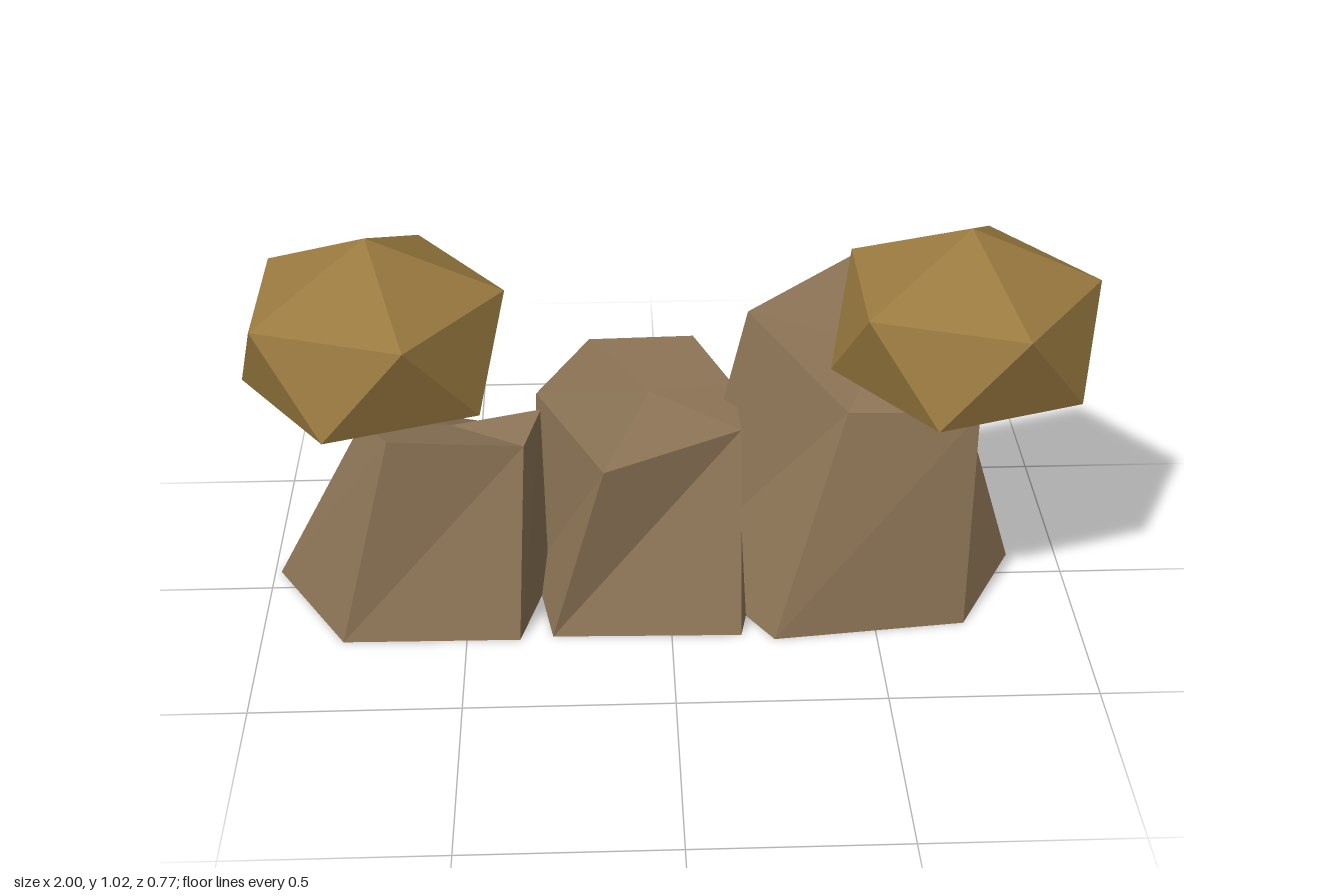
import * as THREE from 'three';
import { ConvexGeometry } from 'three/addons/geometries/ConvexGeometry.js';

// Faceted six-sided stone: a ground ring of [x, z] and a crown ring of [x, y, z],
// both running right, front right, front left, left, back left, back right.
function stoneGeometry(base, crown) {
  const b = base.map(([x, z]) => new THREE.Vector3(x, 0, z));
  const t = crown.map((p) => new THREE.Vector3(...p));
  const centre = (ring) =>
    ring.reduce((sum, p) => sum.add(p), new THREE.Vector3()).divideScalar(ring.length);
  const cb = centre(b);
  const ct = centre(t);
  const points = [];
  for (let i = 0; i < b.length; i++) {
    const j = (i + 1) % b.length;
    points.push(b[i], t[i], b[j], b[j], t[i], t[j]); // side
    points.push(ct, t[j], t[i]); // crown
    points.push(cb, b[i], b[j]); // underside
  }
  const geometry = new THREE.BufferGeometry().setFromPoints(points);
  geometry.computeVertexNormals();
  return geometry;
}

// Flattened icosahedron with its axis upright
function boulderGeometry(radius, halfHeight) {
  const points = [new THREE.Vector3(0, halfHeight, 0), new THREE.Vector3(0, -halfHeight, 0)];
  for (let i = 0; i < 10; i++) {
    const a = (i * Math.PI) / 5;
    const y = (i % 2 ? -1 : 1) * halfHeight * 0.447;
    points.push(new THREE.Vector3(radius * Math.cos(a), y, radius * Math.sin(a)));
  }
  return new ConvexGeometry(points);
}

export function createModel() {
  const group = new THREE.Group();
  const stone = new THREE.MeshStandardMaterial({ color: 0x8b7355, flatShading: true });
  stone.name = 'brown stone';
  const ochre = new THREE.MeshStandardMaterial({ color: 0x9a7a40, flatShading: true });
  ochre.name = 'ochre';

  const add = (name, geometry, material) => {
    const mesh = new THREE.Mesh(geometry, material);
    mesh.name = name;
    group.add(mesh);
    return mesh;
  };

  // Row of three stones
  add('lowStone', stoneGeometry(
    [[-0.29, -0.05], [-0.37, 0.24], [-0.8, 0.235], [-0.985, -0.07], [-0.86, -0.3], [-0.37, -0.315]],
    [[-0.31, 0.48, -0.05], [-0.35, 0.455, 0.08], [-0.67, 0.51, 0.14],
      [-0.74, 0.485, 0], [-0.71, 0.41, -0.19], [-0.4, 0.33, -0.23]],
  ), stone);

  add('middleStone', stoneGeometry(
    [[0.24, -0.1], [0.17, 0.24], [-0.29, 0.23], [-0.34, -0.06], [-0.27, -0.325], [0.08, -0.37]],
    [[0.165, 0.48, -0.16], [0.175, 0.465, 0.04], [-0.16, 0.435, 0.175],
      [-0.32, 0.52, -0.06], [-0.19, 0.535, -0.3], [0.075, 0.515, -0.345]],
  ), stone);

  add('tallStone', stoneGeometry(
    [[0.875, -0.08], [0.72, 0.21], [0.25, 0.26], [0.03, -0.08], [0.3, -0.38], [0.61, -0.385]],
    [[0.68, 0.64, -0.125], [0.735, 0.555, 0.13], [0.42, 0.565, 0.135],
      [0.195, 0.72, -0.09], [0.47, 0.8, -0.235], [0.6, 0.49, -0.2]],
  ), stone);

  // Pair of faceted boulders above the outer stones
  const boulder = boulderGeometry(0.31, 0.25);
  for (const [name, x] of [['leftBoulder', 0.69], ['rightBoulder', -0.69]]) {
    add(name, boulder, ochre).position.set(x, 0.77, 0.088);
  }

  return group;
}
